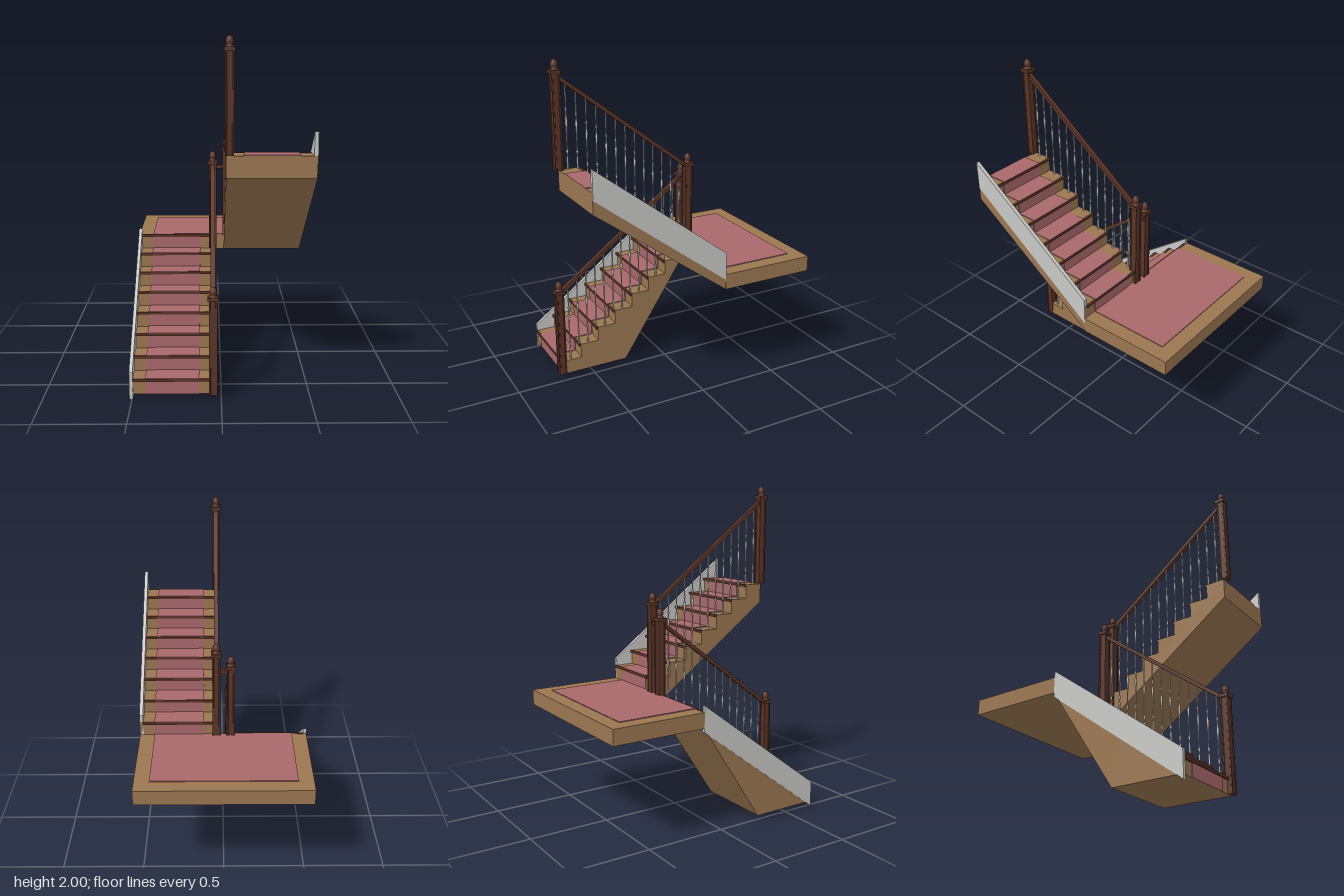
import * as THREE from 'three';

const mat = (name, color) => {
  const m = new THREE.MeshStandardMaterial({ color });
  m.name = name;
  return m;
};

export function createModel() {
  const tan = mat('tanWood', 0x9a7650);
  const dark = mat('darkWood', 0x5a3427);
  const carpet = mat('redCarpet', 0xa9686b);
  const grey = mat('paleGrey', 0xc8c8c5);

  const model = new THREE.Group();
  model.name = 'staircase';

  const STEPS = 7, BASE = 0.03, LAND = 0.745;
  const FRONT = 0.695, BACK = -0.135;
  const RUN = (FRONT - BACK) / STEPS, RISE = (LAND - BASE) / (STEPS + 1);
  const SLOPE = RISE / RUN;

  const add = (parent, name, geo, material, x = 0, y = 0, z = 0) => {
    const m = new THREE.Mesh(geo, material);
    m.name = name;
    m.position.set(x, y, z);
    parent.add(m);
    return m;
  };
  // box given by its limits on each axis
  const block = (parent, name, material, x0, x1, y0, y1, z0, z1) =>
    add(parent, name, new THREE.BoxGeometry(x1 - x0, y1 - y0, z1 - z0), material,
      (x0 + x1) / 2, (y0 + y1) / 2, (z0 + z1) / 2);
  // side profile of [z, y] points, extruded from x0 to x1
  const slab = (parent, name, material, pts, x0, x1) => {
    const shape = new THREE.Shape(pts.map(p => new THREE.Vector2(p[0], p[1])));
    const geo = new THREE.ExtrudeGeometry(shape, { depth: x1 - x0, bevelEnabled: false });
    geo.rotateY(-Math.PI / 2);
    add(parent, name, geo, material, x1);
  };

  // newel post: grooved square shaft, collar and acorn finial
  const postShape = new THREE.Shape();
  const side = [[-0.024, -0.024], [-0.016, -0.024], [-0.014, -0.021], [0.014, -0.021], [0.016, -0.024]];
  for (let k = 0; k < 4; k++) {
    const c = Math.round(Math.cos(k * Math.PI / 2)), s = Math.round(Math.sin(k * Math.PI / 2));
    side.forEach(([a, b], i) => {
      const x = a * c - b * s, y = a * s + b * c;
      if (k === 0 && i === 0) postShape.moveTo(x, y); else postShape.lineTo(x, y);
    });
  }
  const shaftGeo = new THREE.ExtrudeGeometry(postShape, { depth: 0.55, bevelEnabled: false });
  shaftGeo.rotateX(-Math.PI / 2);
  const finialGeo = new THREE.LatheGeometry([
    [0.024, 0], [0.024, 0.006], [0.014, 0.010], [0.021, 0.020], [0.022, 0.030],
    [0.018, 0.044], [0.009, 0.055], [0, 0.059],
  ].map(p => new THREE.Vector2(p[0], p[1])), 14);
  const newel = (x, y, z) => {
    const g = new THREE.Group();
    g.name = 'newelPost';
    g.position.set(x, y, z);
    add(g, 'shaft', shaftGeo, dark);
    block(g, 'collar', dark, -0.03, 0.03, 0.546, 0.566, -0.03, 0.03);
    add(g, 'finial', finialGeo, dark, 0, 0.566, 0);
    model.add(g);
  };

  // turned baluster of unit height
  const balusterGeo = new THREE.LatheGeometry([
    [0.006, 0], [0.006, 0.14], [0.003, 0.17], [0.007, 0.21], [0.0035, 0.26], [0.004, 0.42],
    [0.0075, 0.58], [0.0035, 0.66], [0.0065, 0.7], [0.003, 0.74], [0.0045, 0.84], [0.0045, 1],
  ].map(p => new THREE.Vector2(p[0], p[1])), 8);

  // one flight; up = -1 climbs toward the back, +1 toward the front
  const flight = (name, up, y0, underside, x0, x1, carpetX0, railX, railY) => {
    const g = new THREE.Group();
    g.name = name;
    model.add(g);
    const start = up < 0 ? FRONT : BACK;
    const riserZ = i => start + up * i * RUN;
    const topY = i => y0 + (i + 1) * RISE;

    // stepped body
    const pts = [];
    for (let i = 0; i < STEPS; i++) pts.push([riserZ(i), topY(i)], [riserZ(i + 1), topY(i)]);
    slab(g, 'steppedBody', tan, [...pts, ...underside], x0, x1);

    // nosings and carpet runner
    const zBlock = (n, m, xa, xb, ya, yb, za, zb) =>
      block(g, n, m, xa, xb, ya, yb, Math.min(za, zb), Math.max(za, zb));
    const nx0 = Math.max(x0, -0.497), nx1 = Math.min(x1, 0.497);
    const carpetX1 = carpetX0 + 0.302;
    const noseCount = up < 0 ? STEPS + 1 : STEPS;
    for (let i = 0; i < noseCount; i++) {
      const z = riserZ(i), y = topY(i);
      zBlock('nosing', dark, nx0, nx1, y - 0.013, y + 0.002, z + up * 0.003, z - up * 0.012);
      zBlock('riserCarpet', carpet, carpetX0, carpetX1, y - RISE, y - 0.013, z, z - up * 0.004);
      if (i < STEPS)
        zBlock('treadCarpet', carpet, carpetX0, carpetX1, y, y + 0.005, z - up * 0.009, riserZ(i + 1));
    }

    // balusters and handrail
    const railAt = z => railY + (z - start) * up * SLOPE;
    for (let k = 0; k < 13; k++) {
      const z = 0.642 - k * 0.06;
      const step = Math.min(STEPS - 1, Math.floor((up * (z - start) + 0.012) / RUN));
      const b = add(g, 'baluster', balusterGeo, grey, railX, topY(step), z);
      b.scale.y = railAt(z) - topY(step);
    }
    const za = 0.695, zb = -0.13;
    const rail = add(g, 'handrail',
      new THREE.BoxGeometry(0.027, 0.022, Math.hypot(za - zb, railAt(za) - railAt(zb))), dark,
      railX, (railAt(za) + railAt(zb)) / 2, (za + zb) / 2);
    rail.rotation.x = -up * Math.atan(SLOPE);
    return g;
  };

  const lower = flight('lowerFlight', -1, BASE,
    [[BACK, 0.65], [0.27, BASE], [FRONT, BASE]], -0.512, -0.025, -0.426, -0.045, 0.575);
  const upper = flight('upperFlight', 1, LAND,
    [[FRONT, 1.25], [BACK, 0.65]], 0.025, 0.512, 0.122, 0.042, 1.282);

  // sloping skirting boards on the outer sides
  slab(lower, 'skirtBoard', grey,
    [[0.7, 0], [0.7, 0.16], [BACK, 0.785], [BACK, 0.625]], -0.515, -0.495);
  slab(upper, 'skirtBoard', grey,
    [[0.694, 1.33], [0.694, 1.5], [BACK, 0.88], [BACK, 0.71]], 0.493, 0.515);

  // half landing
  const landing = new THREE.Group();
  landing.name = 'landing';
  model.add(landing);
  block(landing, 'landingSlab', tan, -0.515, 0.515, 0.65, LAND, -0.73, BACK);
  block(landing, 'landingCarpet', carpet, -0.425, 0.425, LAND, LAND + 0.005, -0.64, BACK);

  // newel posts and the short rail joining the middle pair
  newel(-0.045, BASE, 0.7);
  newel(-0.045, 0.66, -0.135);
  newel(0.042, LAND, -0.135);
  newel(0.042, 1.375, 0.7);
  block(model, 'linkRail', dark, -0.03, 0.03, 1.176, 1.198, -0.149, -0.122);

  return model;
}
